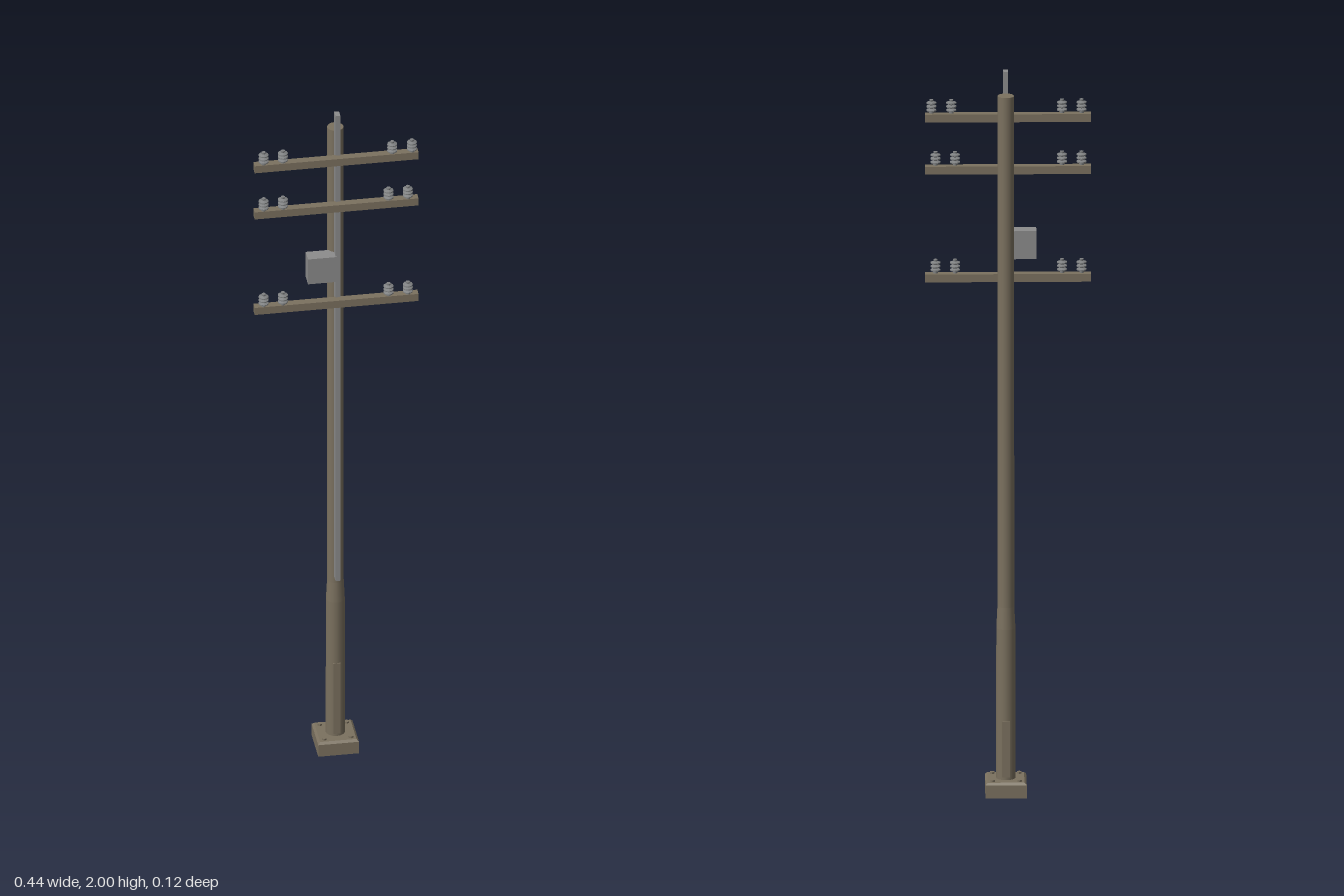
import * as THREE from 'three';

const CX = 0.0065, CZ = -0.008; // pole axis

export function createModel() {
  const model = new THREE.Group();
  model.name = 'utilityPole';
  const mat = (name, color, extra = {}) => {
    const m = new THREE.MeshStandardMaterial({ color, ...extra });
    m.name = name;
    return m;
  };
  const wood = mat('weatheredBrown', 0x7b715f, { flatShading: true });
  const poleMat = mat('poleBrown', 0x7b715f);
  const metal = mat('galvanisedGrey', 0x8c8c8c);
  const ceramic = mat('insulatorGrey', 0x7f8182);

  const add = (name, geo, material, x, y, z, parent = model) => {
    const mesh = new THREE.Mesh(geo, material);
    mesh.name = name;
    mesh.position.set(x, y, z);
    parent.add(mesh);
    return mesh;
  };
  // box given by its limits on each axis
  const block = (name, material, x0, x1, y0, y1, z0, z1) =>
    add(name, new THREE.BoxGeometry(x1 - x0, y1 - y0, z1 - z0), material,
      (x0 + x1) / 2, (y0 + y1) / 2, (z0 + z1) / 2);
  const profile = pts => pts.map(([r, y]) => new THREE.Vector2(r, y));

  // square footing with chamfered top and a recessed underside
  const k = Math.SQRT2;
  const footing = new THREE.LatheGeometry(profile([
    [0, 0.025], [0.034 * k, 0.025], [0.042 * k, 0], [0.055 * k, 0],
    [0.055 * k, 0.036], [0.049 * k, 0.042], [0, 0.042]]), 4, Math.PI / 4);
  add('footing', footing, wood, CX, 0, CZ);

  // anchor bolts
  for (const sx of [-1, 1]) for (const sz of [-1, 1])
    add('anchorBolt', new THREE.CylinderGeometry(0.007, 0.007, 0.006, 6), wood,
      CX + sx * 0.036, 0.044, CZ + sz * 0.037);

  // pole: thick lower sleeve, short taper, slim shaft
  const section = (name, rTop, rBottom, y0, y1) =>
    add(name, new THREE.CylinderGeometry(rTop, rBottom, y1 - y0, 16), poleMat, CX, (y0 + y1) / 2, CZ);
  section('poleSleeve', 0.0255, 0.0262, 0.04, 0.46);
  section('poleTaper', 0.0225, 0.0255, 0.46, 0.52);
  section('poleShaft', 0.022, 0.0225, 0.52, 1.94);

  // access covers on the sleeve
  block('frontCover', wood, CX - 0.01, CX + 0.01, 0.05, 0.27, CZ + 0.02, CZ + 0.0275);
  block('backCover', wood, CX - 0.01, CX + 0.01, 0.05, 0.205, CZ - 0.0275, CZ - 0.02);

  // mounting rail and control box
  block('mountingRail', metal, CX - 0.0065, CX + 0.0065, 0.54, 2, 0.0125, 0.036);
  block('controlBox', metal, -0.075, 0.003, 1.482, 1.56, 0.001, 0.04);

  // ribbed insulator with three sheds and a pin
  const ribs = [[0, 0], [0.006, 0], [0.006, 0.006]];
  for (const y of [0.007, 0.017, 0.027])
    ribs.push([0.0135, y], [0.0135, y + 0.003], [0.005, y + 0.006]);
  ribs.push([0.0055, 0.038], [0, 0.038]);
  const insulator = new THREE.LatheGeometry(profile(ribs), 12);
  ceramic.flatShading = true;

  // crossarms, each carrying four insulators
  const arms = [
    [1.854, [-0.196, -0.144, 0.151, 0.204]],
    [1.709, [-0.196, -0.144, 0.141, 0.193]],
    [1.409, [-0.196, -0.144, 0.141, 0.193]],
  ];
  for (const [y, xs] of arms) {
    block('crossarm', wood, -0.221, 0.221, y, y + 0.022, 0.032, 0.054);
    for (const x of xs) add('insulator', insulator, ceramic, x, y + 0.022, 0.047);
  }
  return model;
}
